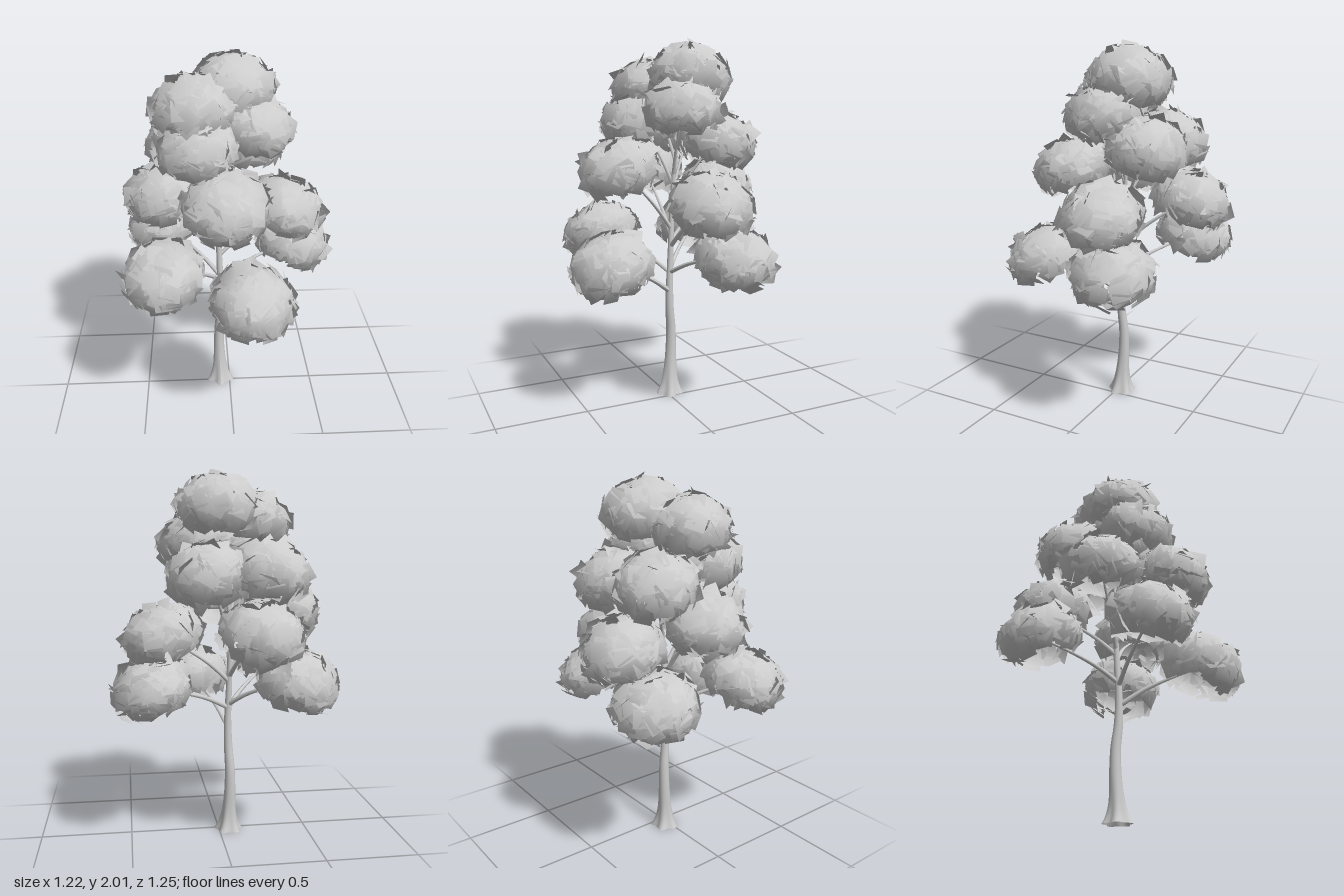
import * as THREE from 'three';

const material = new THREE.MeshStandardMaterial({ color: 0xcccccc, side: THREE.DoubleSide, roughness: 0.9 });
const up = new THREE.Vector3(0, 1, 0);

// Small seeded generator
let seed = 7;
function rnd() {
  seed = (seed * 16807) % 2147483647;
  return seed / 2147483647;
}
const spread = (a) => (rnd() * 2 - 1) * a;

// Leaf clumps: x, y, z, size, height on the trunk where the branch leaves
const clumps = [
  [0.10, 0.82, 0.385, 1.03, 0.61],
  [-0.365, 0.93, 0.28, 1.0, 0.72],
  [0.38, 0.87, -0.19, 1.0, 0.72],
  [-0.37, 0.92, -0.33, 1.0, 0.74],
  [0.31, 1.135, -0.09, 1.02, 0.87],
  [-0.17, 1.17, -0.385, 1.0, 0.90],
  [-0.345, 1.28, 0.0, 1.0, 0.93],
  [-0.035, 1.315, 0.28, 1.03, 0.97],
  [0.09, 1.47, -0.235, 1.0, 1.10],
  [-0.23, 1.48, -0.22, 1.0, 1.15],
  [-0.17, 1.57, 0.11, 1.02, 1.22],
  [0.12, 1.635, -0.015, 0.99, 1.28],
  [-0.18, 1.745, 0.04, 1.02, 1.36],
  [0.02, 1.81, -0.105, 1.04, 1.45],
];

// Trunk centre line
const trunkCurve = new THREE.CatmullRomCurve3([
  [-0.055, 0, -0.022], [-0.058, 0.1, -0.025], [-0.062, 0.25, -0.033], [-0.06, 0.38, -0.033],
  [-0.053, 0.5, -0.022], [-0.05, 0.65, -0.02], [-0.056, 0.85, -0.03],
  [-0.06, 1.1, -0.04], [-0.045, 1.35, -0.05], [-0.02, 1.6, -0.08],
].map((p) => new THREE.Vector3(...p)));

function trunkPointAt(y) {
  let lo = 0, hi = 1;
  for (let i = 0; i < 24; i++) {
    const mid = (lo + hi) / 2;
    if (trunkCurve.getPoint(mid).y < y) lo = mid; else hi = mid;
  }
  return trunkCurve.getPoint(lo);
}

// Tube whose radius follows radiusAt(point, t, angle)
function taperedTube(curve, segments, sides, radiusAt) {
  const geometry = new THREE.TubeGeometry(curve, segments, 1, sides, false);
  const pos = geometry.attributes.position;
  const v = new THREE.Vector3();
  for (let i = 0; i <= segments; i++) {
    const t = i / segments;
    const c = curve.getPointAt(t);
    for (let j = 0; j <= sides; j++) {
      const k = i * (sides + 1) + j;
      v.fromBufferAttribute(pos, k).sub(c);
      if (i === 0 && c.y < 0.001) v.y = 0;
      v.multiplyScalar(radiusAt(c, t, (j / sides) * Math.PI * 2)).add(c);
      pos.setXYZ(k, v.x, Math.max(0, v.y), v.z);
    }
  }
  geometry.computeVertexNormals();
  return geometry;
}

function trunkRadius(c, t, angle) {
  const flare = Math.exp(-c.y / 0.065);
  const taper = c.y < 0.7 ? 0.037 - 0.018 * (c.y / 0.7) : 0.019 - 0.013 * ((c.y - 0.7) / 0.9);
  return taper + flare * (0.034 + 0.011 * Math.cos(angle * 5));
}

function branchGeometry(clump) {
  const [x, y, z, , startY] = clump;
  const a = trunkPointAt(startY);
  const b = new THREE.Vector3(x, y, z);
  // Arches up out of the trunk and levels off in the clump
  const m1 = a.clone().lerp(b, 0.3).add(new THREE.Vector3(0, 0.022, 0));
  const m2 = a.clone().lerp(b, 0.65).add(new THREE.Vector3(0, 0.018, 0));
  const r = 0.015 - 0.006 * (startY - 0.6);
  return taperedTube(new THREE.CatmullRomCurve3([a, m1, m2, b]), 12, 8, (c, t) => r * (1 - 0.65 * t));
}

// Thin twigs fanning out inside a clump
function twigGeometry(clump, angle) {
  const start = new THREE.Vector3(clump[0], clump[1] - 0.01, clump[2]);
  const end = start.clone().add(new THREE.Vector3(Math.cos(angle) * 0.13, 0.05, Math.sin(angle) * 0.13));
  return taperedTube(new THREE.LineCurve3(start, end), 3, 5, (c, t) => 0.005 * (1 - 0.6 * t));
}

// Square leaf cards layered over a dome that is open below; every fourth one stands out as a spike
function leafClumpGeometry(size, count = 165) {
  const rx = 0.2 * size, ry = 0.155 * size, lowest = -0.55;
  const positions = [], normals = [], index = [];
  const dir = new THREE.Vector3(), normal = new THREE.Vector3(), centre = new THREE.Vector3();
  const corner = new THREE.Vector3(), cardNormal = new THREE.Vector3();
  const basis = new THREE.Matrix4(), origin = new THREE.Vector3();
  const face = new THREE.Quaternion(), tilt = new THREE.Quaternion(), euler = new THREE.Euler();
  for (let i = 0; i < count; i++) {
    const h = 1 - ((1 - lowest) * (i + 0.5)) / count;
    const ring = Math.sqrt(1 - h * h);
    const a = i * 2.39996 + spread(0.3);
    dir.set(Math.cos(a) * ring, h, Math.sin(a) * ring);
    normal.set(dir.x / rx, dir.y / ry, dir.z / rx).normalize();
    const spike = i % 4 === 0;
    centre.set(dir.x * rx, dir.y * ry, dir.z * rx).multiplyScalar(spike ? 0.95 + spread(0.06) : 0.98 + spread(0.09));
    face.setFromRotationMatrix(basis.lookAt(normal, origin, up));
    const lean = spike ? 1.0 : 0.28;
    tilt.setFromEuler(euler.set(spread(lean), spread(lean), spread(0.7)));
    face.multiply(tilt);
    cardNormal.set(0, 0, 1).applyQuaternion(face);
    const s = 0.046 + spread(0.005);
    for (const [u, w] of [[-1, -1], [1, -1], [1, 1], [-1, 1]]) {
      corner.set(u * s, w * s, 0).applyQuaternion(face).add(centre);
      positions.push(corner.x, corner.y, corner.z);
      corner.set(corner.x / (rx * rx), corner.y / (ry * ry), corner.z / (rx * rx)).normalize();
      corner.addScaledVector(cardNormal, 0.5).normalize();
      normals.push(corner.x, corner.y, corner.z);
    }
    const k = i * 4;
    index.push(k, k + 1, k + 2, k, k + 2, k + 3);
  }
  const geometry = new THREE.BufferGeometry();
  geometry.setAttribute('position', new THREE.Float32BufferAttribute(positions, 3));
  geometry.setAttribute('normal', new THREE.Float32BufferAttribute(normals, 3));
  geometry.setIndex(index);
  return geometry;
}

export function createModel() {
  seed = 7;
  const tree = new THREE.Group();
  tree.name = 'tree';
  const add = (parent, name, geometry) => {
    const mesh = new THREE.Mesh(geometry, material);
    mesh.name = name;
    parent.add(mesh);
    return mesh;
  };

  add(tree, 'trunk', taperedTube(trunkCurve, 60, 30, trunkRadius));

  const branches = new THREE.Group();
  branches.name = 'branches';
  const foliage = new THREE.Group();
  foliage.name = 'foliage';
  tree.add(branches, foliage);

  clumps.forEach((clump, i) => {
    const [x, y, z, size] = clump;
    add(branches, `branch${i + 1}`, branchGeometry(clump));
    for (let j = 0; j < 4; j++) add(branches, 'twig', twigGeometry(clump, i + j * Math.PI / 2));
    const leaves = add(foliage, `leafClump${i + 1}`, leafClumpGeometry(size));
    leaves.position.set(x, y, z);
    // Clumps lean away from the trunk, more so the farther out they hang
    const outward = new THREE.Vector3(x + 0.05, 0, z + 0.04);
    const lean = Math.min(0.36, outward.length());
    leaves.quaternion.setFromAxisAngle(up.clone().cross(outward).normalize(), lean);
  });

  return tree;
}
